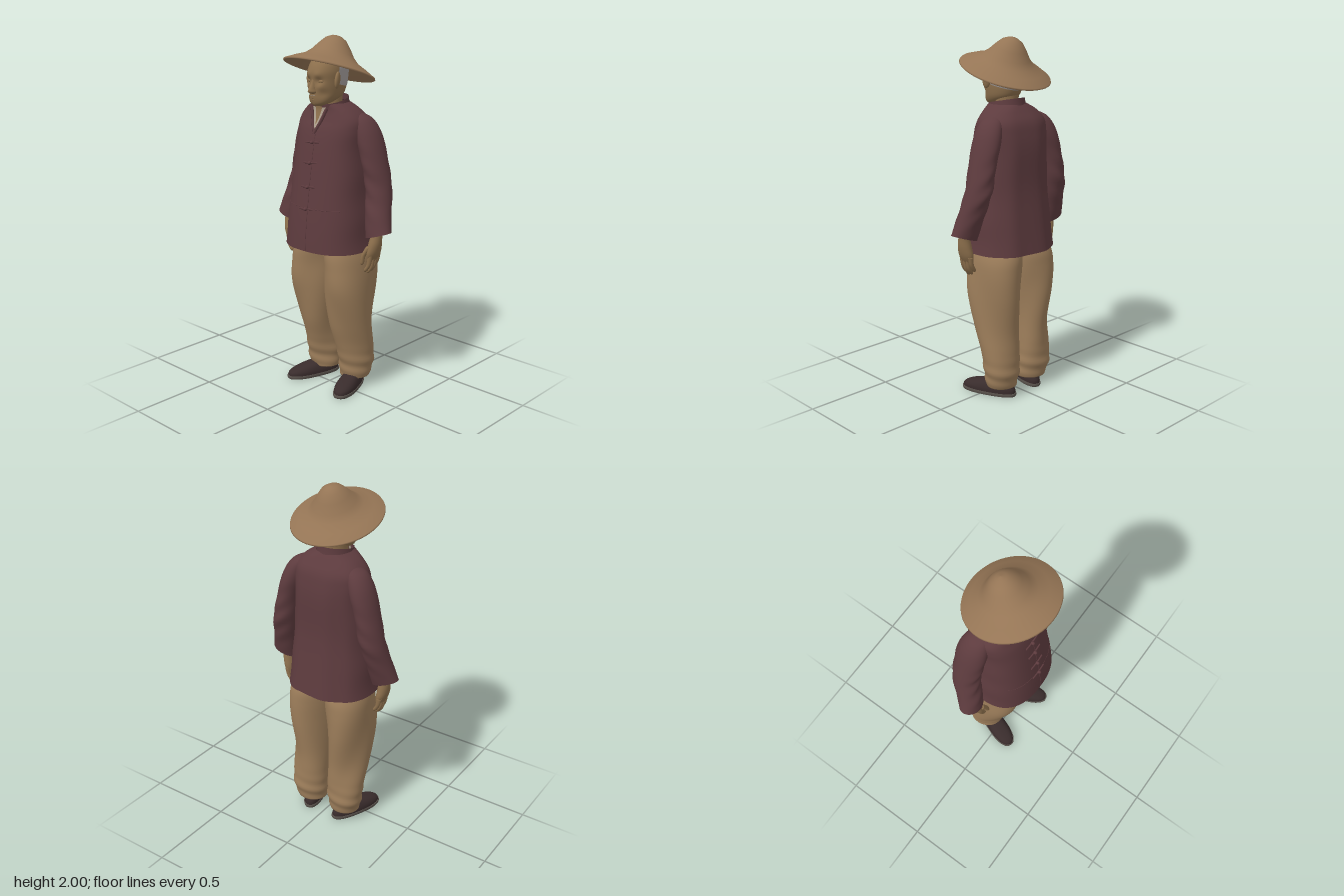
import * as THREE from 'three';

const mat = (name, color, side = THREE.FrontSide) => {
  const m = new THREE.MeshStandardMaterial({ color, side });
  m.name = name;
  return m;
};

// Grid surface: fn(u, v, target), u runs round, v runs upward
function grid(fn, cols, rows, { wrap = false, cap = false } = {}) {
  const pos = [], idx = [], p = new THREE.Vector3(), n = wrap ? cols : cols + 1;
  for (let j = 0; j <= rows; j++) for (let i = 0; i < n; i++) {
    fn(i / cols, j / rows, p);
    pos.push(p.x, p.y, p.z);
  }
  for (let j = 0; j < rows; j++) for (let i = 0; i < cols; i++) {
    const a = j * n + i, b = j * n + (i + 1) % n;
    idx.push(a, b, b + n, a, b + n, a + n);
  }
  if (cap) for (const j of [0, rows]) {
    const c = [0, 0, 0], id = pos.length / 3;
    for (let i = 0; i < n; i++) for (let k = 0; k < 3; k++) c[k] += pos[(j * n + i) * 3 + k] / n;
    pos.push(...c);
    for (let i = 0; i < n; i++) {
      const a = j * n + i, b = j * n + (i + 1) % n;
      idx.push(id, ...(j ? [a, b] : [b, a]));
    }
  }
  const g = new THREE.BufferGeometry();
  g.setAttribute('position', new THREE.Float32BufferAttribute(pos, 3));
  g.setIndex(idx);
  g.computeVertexNormals();
  return g;
}

// Smooth interpolation of stations [x, y, z, halfWidth, halfDepth]
function sample(st, v) {
  const f = v * (st.length - 1), i = Math.min(Math.floor(f), st.length - 2), t = f - i;
  const at = k => st[Math.max(0, Math.min(st.length - 1, k))];
  return st[0].map((_, k) => {
    const a = at(i - 1)[k], b = at(i)[k], c = at(i + 1)[k], d = at(i + 2)[k];
    return b + 0.5 * t * (c - a + t * (2 * a - 5 * b + 4 * c - d + t * (3 * (b - c) + d - a)));
  });
}

// Stack of horizontal sections, listed from bottom to top
function loft(st, { seg = 40, rows = st.length * 5, power = 1, cap = true, arc = null, warp = null } = {}) {
  const sp = t => Math.sign(t) * Math.abs(t) ** power;
  return grid((u, v, p) => {
    const [x, y, z, rx, rz] = sample(st, v);
    const a = arc ? arc[0] + u * (arc[1] - arc[0]) : u * Math.PI * 2;
    p.set(x + rx * sp(Math.sin(a)), y, z + rz * sp(Math.cos(a)));
    if (warp) warp(p, a, v);
  }, seg, rows, { wrap: !arc, cap: cap && !arc });
}

const TORSO = [
  [0, 0.845, -0.015, 0.255, 0.222], [0, 1.0, -0.012, 0.24, 0.207], [0, 1.2, -0.015, 0.222, 0.185],
  [0, 1.4, -0.03, 0.208, 0.17], [0, 1.5, -0.036, 0.208, 0.154], [0, 1.56, -0.04, 0.2, 0.134],
  [0, 1.61, -0.03, 0.155, 0.11], [0, 1.645, -0.014, 0.092, 0.098],
];
const TORSO_POWER = 0.82;

// Depth of the jacket front at a given x and y
function chestZ(x, y) {
  let lo = 0, hi = 1;
  for (let k = 0; k < 24; k++) {
    const m = (lo + hi) / 2;
    if (sample(TORSO, m)[1] < y) lo = m; else hi = m;
  }
  const [, , z, rx, rz] = sample(TORSO, lo);
  return z + rz * (1 - Math.min(1, Math.abs(x) / rx) ** (2 / TORSO_POWER)) ** (TORSO_POWER / 2);
}

export function createModel() {
  const root = new THREE.Group();
  root.name = 'oldMan';
  const straw = mat('straw', 0x957555), cloth = mat('jacketCloth', 0x5d3b3e, THREE.DoubleSide);
  const trouser = mat('trouserCloth', 0x9c7d5a), skin = mat('skin', 0x8c6f4c), crease = mat('skinCrease', 0x78603f);
  const hair = mat('greyHair', 0xa29c9b, THREE.DoubleSide), linen = mat('linen', 0xaa9c8a, THREE.DoubleSide);
  const shoe = mat('shoeCloth', 0x392c2c), sole = mat('sole', 0x57504a);

  const add = (name, geo, material, parent = root) => {
    const m = new THREE.Mesh(geo, material);
    m.name = name;
    parent.add(m);
    return m;
  };
  const ball = (name, material, pos, size) => {
    const m = add(name, new THREE.SphereGeometry(1, 20, 14), material);
    m.position.set(...pos);
    m.scale.set(...size);
    return m;
  };
  const cord = (name, pts, r, material) => add(name, new THREE.TubeGeometry(
    new THREE.CatmullRomCurve3(pts.map(p => new THREE.Vector3(...p))), 16, r, 6), material);
  const onChest = (x, y, lift = 0.001) => [x, y, chestZ(x, y) + lift];
  // V-shaped cloth panel lying on the chest
  const chestPanel = (name, y0, y1, width, lift, material) => add(name, grid((u, v, p) => {
    p.set(...onChest((u - 0.5) * width * v ** 0.85, y0 + (y1 - y0) * v, lift));
  }, 10, 14), material);

  // Wide hat, slightly oval and tipped back
  const hatProfile = [[0, 0.172], [0.04, 0.158], [0.08, 0.115], [0.11, 0.075], [0.15, 0.046], [0.2, 0.022],
    [0.25, -0.008], [0.256, -0.004], [0.253, 0.003], [0.2, 0.032], [0.15, 0.056], [0.118, 0.086],
    [0.088, 0.128], [0.058, 0.164], [0.028, 0.181], [0, 0.186]].map(p => new THREE.Vector2(...p));
  const hat = add('hat', new THREE.LatheGeometry(hatProfile, 64), straw);
  hat.position.set(0, 1.818, 0.003);
  hat.rotation.x = -0.33;
  hat.scale.x = 0.98;

  // Head and neck
  const HEAD = [
    [0, 1.634, 0.088, 0.026, 0.026], [0, 1.65, 0.066, 0.055, 0.06], [0, 1.68, 0.034, 0.075, 0.099],
    [0, 1.72, 0.02, 0.084, 0.113], [0, 1.77, 0.017, 0.088, 0.118], [0, 1.82, 0.014, 0.09, 0.12],
    [0, 1.87, 0, 0.08, 0.105], [0, 1.91, -0.018, 0.05, 0.06], [0, 1.925, -0.02, 0.01, 0.012],
  ];
  add('head', loft(HEAD, {
    power: 0.92, rows: 60, seg: 64,
    warp: (p) => { // eye sockets, brow ridge, cheekbones and hollow cheeks
      if (p.z < 0.03) return;
      const dip = (x, y, s) => Math.exp(-(((Math.abs(p.x) - x) / s) ** 2) - ((p.y - y) / s) ** 2);
      p.z += 0.006 * dip(0.035, 1.8, 0.02) + 0.005 * dip(0.05, 1.738, 0.02);
      p.z -= 0.012 * dip(0.036, 1.768, 0.02) + 0.008 * dip(0.055, 1.698, 0.022);
    },
  }), skin);
  add('neck', loft([[0, 1.54, -0.005, 0.07, 0.075], [0, 1.64, -0.005, 0.062, 0.068], [0, 1.74, -0.015, 0.062, 0.07]]), skin);
  add('hair', loft(HEAD.slice(2, 7).map(([x, y, z, a, b]) => [x, y + 0.012, z - 0.003, a + 0.004, b + 0.004]),
    { arc: [1.48, Math.PI * 2 - 1.48], power: 0.92, warp: (p, a, v) => { p.y += 0.028 * (1 - v) * (1 + Math.cos(a)); } }), hair);
  add('nose', loft([[0, 1.698, 0.122, 0.013, 0.01], [0, 1.71, 0.128, 0.023, 0.032], [0, 1.728, 0.126, 0.018, 0.033],
    [0, 1.755, 0.118, 0.014, 0.025], [0, 1.79, 0.114, 0.012, 0.015]], { seg: 24 }), skin);
  cord('mouth', [[-0.026, 1.673, 0.117], [0, 1.677, 0.131], [0.026, 1.673, 0.117]], 0.0025, crease);
  ball('lowerLip', skin, [0, 1.667, 0.12], [0.022, 0.007, 0.012]);
  ball('chin', skin, [0, 1.652, 0.1], [0.032, 0.02, 0.026]);
  for (const s of [-1, 1]) {
    ball('ear', skin, [s * 0.098, 1.772, 0.045], [0.013, 0.045, 0.024]).rotation.set(-0.15, s * 0.35, 0);
    ball('eyelid', skin, [s * 0.036, 1.766, 0.107], [0.02, 0.012, 0.012]);
    cord('eyeLine', [[s * 0.019, 1.761, 0.116], [s * 0.036, 1.76, 0.119], [s * 0.053, 1.759, 0.109]], 0.0014, crease);
    cord('moustache', [[s * 0.002, 1.693, 0.131], [s * 0.014, 1.69, 0.129], [s * 0.028, 1.681, 0.12]], 0.0035, hair);
  }

  // Jacket body with soft folds, collar and open-necked shirt beneath
  add('jacketBody', loft(TORSO, {
    seg: 72, rows: 56, power: TORSO_POWER, cap: false,
    warp: (p, a, v) => {
      p.x *= 1 + 0.012 * Math.sin(a) ** 2 * (1 - v) * Math.sin(p.y * 26);
      if (Math.cos(a) < 0) p.z -= 0.006 * (1 + Math.sin(a * 8)) * (1 - v) * Math.cos(a) ** 2;
    },
  }), cloth);
  add('shirtNeck', loft([[0, 1.57, 0, 0.08, 0.09], [0, 1.64, 0, 0.07, 0.08]], { arc: [0.35, Math.PI * 2 - 0.35] }), linen);
  chestPanel('shirtFront', 1.5, 1.625, 0.105, 0.004, linen);
  chestPanel('bareThroat', 1.535, 1.63, 0.05, 0.006, skin);
  add('collar', loft([[0, 1.57, -0.012, 0.12, 0.113], [0, 1.6, -0.01, 0.1, 0.106], [0, 1.64, -0.006, 0.092, 0.106]],
    { arc: [0.55, Math.PI * 2 - 0.55], warp: (p, a) => { p.y += 0.02 * (1 - Math.cos(a)); } }), cloth);
  for (const s of [-1, 1]) {
    cord('collarEdge', [onChest(0, 1.488, 0.002), onChest(s * 0.026, 1.545, 0.004), onChest(s * 0.054, 1.62, 0.006)], 0.009, cloth);
    cord('pocketEdge', [0.055, 0.1, 0.15, 0.19].map(x => onChest(s * x, 1.085, 0)), 0.002, cloth);
  }
  cord('frontSeam', [1.49, 1.4, 1.25, 1.1, 0.97, 0.85].map(y => onChest(0.008, y, 0)), 0.002, cloth);
  for (const y of [1.44, 1.33, 1.2, 1.08]) {
    cord('clasp', [-0.05, -0.02, 0.02, 0.05].map(x => onChest(x, y + x * 0.08, 0.003)), 0.005, cloth);
    ball('claspKnot', cloth, onChest(0, y, 0.008), [0.01, 0.01, 0.012]);
  }

  for (const s of [-1, 1]) {
    const m = st => st.map(([x, ...r]) => [s * x, ...r]);

    // Sleeve with elbow creases and slanted cuff
    add('sleeve', loft(m([
      [0.336, 0.952, -0.025, 0.076, 0.06], [0.315, 1.05, -0.046, 0.072, 0.07], [0.284, 1.2, -0.083, 0.069, 0.078],
      [0.252, 1.35, -0.083, 0.064, 0.084], [0.222, 1.45, -0.08, 0.067, 0.086], [0.197, 1.52, -0.075, 0.063, 0.077],
      [0.17, 1.57, -0.068, 0.05, 0.057], [0.145, 1.598, -0.06, 0.012, 0.02]]), {
      cap: false, rows: 48,
      warp: (p, a, v) => {
        p.y += 0.32 * (s * p.x - 0.336) * Math.max(0, 1 - v * 4);
        const fold = Math.exp(-(((p.y - 1.2) / 0.15) ** 2));
        p.z += 0.005 * fold * Math.sin(p.y * 60 + s * p.x * 40) * Math.cos(a);
      },
    }), cloth);

    // Hand hanging loosely
    add('wristAndPalm', loft(m([
      [0.3, 0.805, -0.014, 0.018, 0.036], [0.312, 0.85, -0.014, 0.03, 0.048], [0.322, 0.9, -0.014, 0.033, 0.043],
      [0.328, 0.95, -0.018, 0.031, 0.034], [0.33, 1.0, -0.025, 0.031, 0.034]]), { seg: 24 }), skin);
    [-0.049, -0.027, -0.005, 0.017].forEach((z, i) => {
      const tip = [0.757, 0.738, 0.732, 0.745][i];
      add('finger', loft(m([
        [0.283, tip, z + 0.002, 0.004, 0.004], [0.288, tip + 0.012, z + 0.002, 0.012, 0.011],
        [0.306, tip + 0.045, z, 0.013, 0.012], [0.313, 0.845, z, 0.017, 0.013]]), { seg: 12 }), skin);
    });
    add('thumb', loft(m([
      [0.271, 0.785, 0.034, 0.004, 0.004], [0.272, 0.797, 0.034, 0.011, 0.011],
      [0.28, 0.84, 0.031, 0.013, 0.013], [0.306, 0.89, 0.014, 0.018, 0.019]]), { seg: 12 }), skin);

    // Baggy trouser leg with draped folds
    add('trouserLeg', loft(m([
      [0.116, 0.06, -0.085, 0.088, 0.082], [0.122, 0.14, -0.09, 0.102, 0.098], [0.123, 0.26, -0.075, 0.106, 0.111],
      [0.123, 0.4, -0.05, 0.112, 0.132], [0.124, 0.6, -0.037, 0.125, 0.166], [0.12, 0.74, -0.04, 0.127, 0.172],
      [0.113, 0.83, -0.037, 0.121, 0.166], [0.1, 0.92, -0.025, 0.1, 0.13]]), {
      rows: 60, seg: 56,
      warp: (p, a, v) => {
        const low = Math.exp(-(((p.y - 0.13) / 0.08) ** 2));
        const k = 0.007 * Math.sin(a * 3 * s + p.y * 9) * Math.sin(Math.PI * v) + 0.004 * low * Math.sin(p.y * 75 + a);
        p.x += k * Math.sin(a);
        p.z += k * Math.cos(a);
      },
    }), trouser);

    // Broad slip-on shoe, toes turned out
    const foot = new THREE.Group();
    foot.name = 'shoe';
    foot.position.set(s * 0.143, 0, -0.012);
    foot.rotation.y = s * 0.34;
    root.add(foot);
    const heel = p => { p.x *= 0.95 + 0.5 * Math.min(p.z, 0.08); };
    add('sole', loft([[0, 0, 0, 0.062, 0.165], [0, 0.009, 0, 0.064, 0.168], [0, 0.018, 0, 0.063, 0.166]], { warp: heel, power: 0.82 }), sole, foot);
    add('upper', loft([[0, 0.016, 0, 0.06, 0.162], [0, 0.036, -0.002, 0.06, 0.159], [0, 0.054, -0.014, 0.055, 0.14],
      [0, 0.07, -0.04, 0.047, 0.108], [0, 0.085, -0.075, 0.036, 0.066]], { warp: heel, power: 0.85 }), shoe, foot);
  }
  return root;
}
